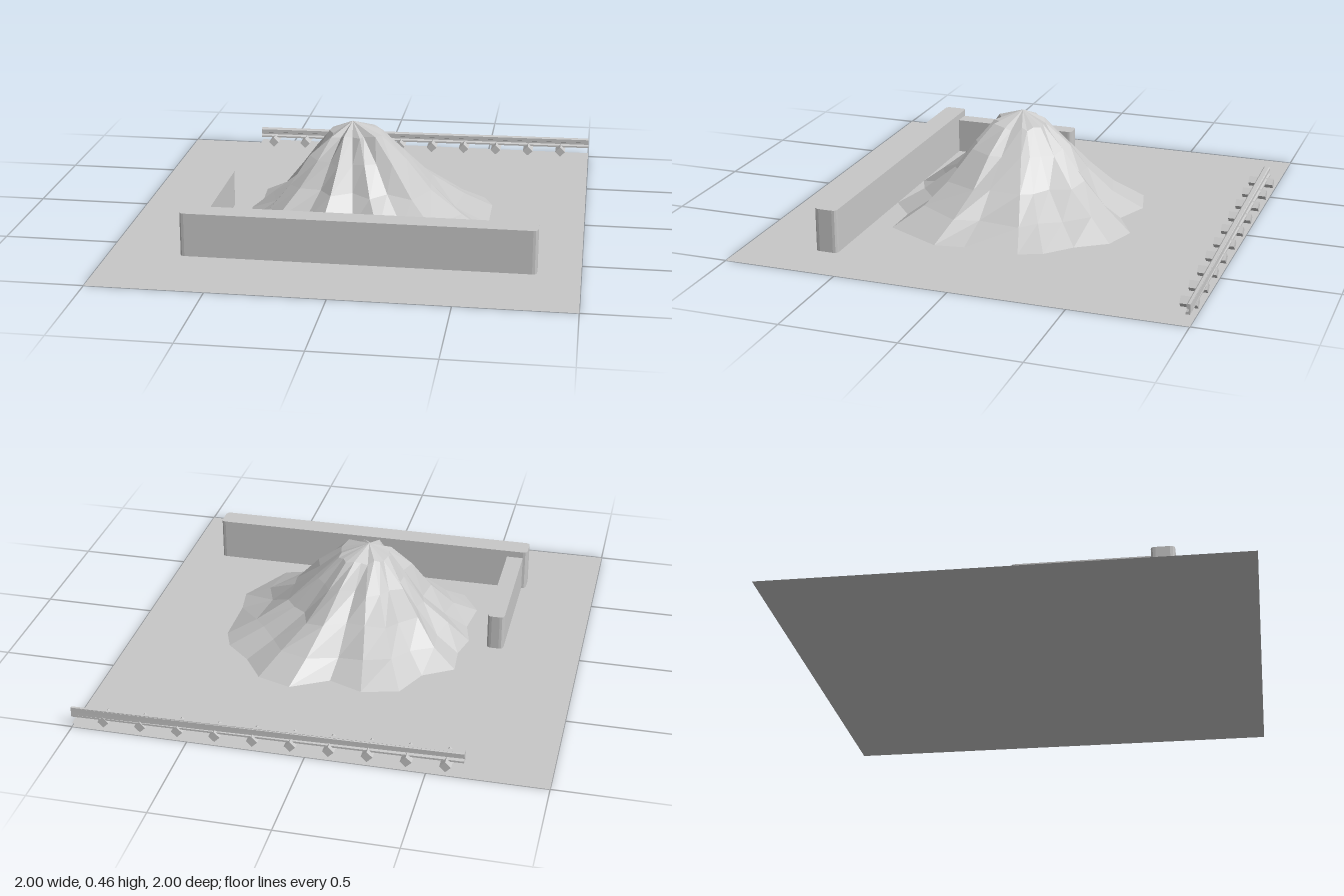
import * as THREE from 'three';

const BASE = 0.02;
const EDGE = -1; // back limit of the site
const SLOPE = -0.028; // the track runs slightly askew

// Outline of the heap foot as x, z pairs, clockwise from above
const FOOT = [
  [-0.28, -0.46], [-0.12, -0.5], [0.03, -0.44], [0.19, -0.53], [0.34, -0.48], [0.43, -0.35],
  [0.54, -0.25], [0.58, -0.15], [0.58, 0.09], [0.6, 0.22], [0.47, 0.47], [0.3, 0.47],
  [0.18, 0.57], [0.03, 0.5], [-0.13, 0.57], [-0.24, 0.46], [-0.41, 0.44], [-0.49, 0.31],
  [-0.47, 0.15], [-0.5, 0.03], [-0.47, -0.09], [-0.48, -0.23], [-0.35, -0.31],
];
// Slope of the heap: distance from peak to foot (0..1) and height
const RINGS = [[0.2, 0.405], [0.37, 0.31], [0.56, 0.19], [0.77, 0.09], [1, BASE]];
const PEAK = [-0.035, 0.455, 0.042];

function seeded(seed) {
  return () => {
    seed = (seed * 16807) % 2147483647;
    return seed / 2147483647;
  };
}

// Faceted heap, made of rings running from the peak to the foot
function heapGeometry() {
  const rand = seeded(7);
  const n = FOOT.length;
  const positions = [...PEAK];
  const index = [];
  RINGS.forEach(([t, y], r) => {
    FOOT.forEach(([x, z]) => {
      const inner = t < 1 ? 1 : 0;
      const s = t + inner * (rand() - 0.5) * 0.06;
      const h = y + inner * (rand() - 0.5) * 0.025;
      positions.push(PEAK[0] + (x - PEAK[0]) * s, h, PEAK[2] + (z - PEAK[2]) * s);
    });
    for (let i = 0; i < n; i++) {
      const j = (i + 1) % n;
      const c = 1 + r * n + i, d = 1 + r * n + j;
      if (r === 0) index.push(0, d, c);
      else index.push(c - n, d - n, d, c - n, d, c);
    }
  });
  const g = new THREE.BufferGeometry();
  g.setAttribute('position', new THREE.Float32BufferAttribute(positions, 3));
  g.setIndex(index);
  const flat = g.toNonIndexed();
  flat.computeVertexNormals();
  return flat;
}

// Upright wall with rounded vertical corners
function wallGeometry(x0, x1, z0, z1, top) {
  const r = 0.02;
  const s = new THREE.Shape();
  s.moveTo(x0 + r, -z1);
  s.lineTo(x1 - r, -z1);
  s.quadraticCurveTo(x1, -z1, x1, -z1 + r);
  s.lineTo(x1, -z0 - r);
  s.quadraticCurveTo(x1, -z0, x1 - r, -z0);
  s.lineTo(x0 + r, -z0);
  s.quadraticCurveTo(x0, -z0, x0, -z0 - r);
  s.lineTo(x0, -z1 + r);
  s.quadraticCurveTo(x0, -z1, x0 + r, -z1);
  const g = new THREE.ExtrudeGeometry(s, { depth: top - BASE, bevelEnabled: false, curveSegments: 3 });
  return g.rotateX(-Math.PI / 2).translate(0, BASE, 0);
}

// Skew a track part along x and cut it off at the back edge
function alignTrack(g) {
  const p = g.attributes.position;
  for (let i = 0; i < p.count; i++) {
    p.setZ(i, Math.max(EDGE, p.getZ(i) + SLOPE * (p.getX(i) + 0.65)));
  }
  g.computeVertexNormals();
  return g;
}

function railGeometry() {
  const half = [[0.018, 0.05], [0.018, 0.058], [0.005, 0.063], [0.005, 0.072], [0.015, 0.076], [0.015, 0.09], [0.01, 0.094]];
  const mirrored = half.map(([u, v]) => [-u, v]).reverse();
  const s = new THREE.Shape([...half, ...mirrored].map(([u, v]) => new THREE.Vector2(u, v)));
  const g = new THREE.ExtrudeGeometry(s, { depth: 1.65, bevelEnabled: false });
  return alignTrack(g.rotateY(Math.PI / 2).translate(-0.65, 0, -0.953));
}

export function createModel() {
  const model = new THREE.Group();
  const grey = new THREE.MeshStandardMaterial({ color: 0xc8c8c8 });
  grey.name = 'plain grey';
  const sheetGrey = grey; // one colour everywhere
  sheetGrey.side = THREE.DoubleSide;

  const add = (name, geometry, parent = model) => {
    const mesh = new THREE.Mesh(geometry, grey);
    mesh.name = name;
    parent.add(mesh);
    return mesh;
  };

  add('ground', new THREE.PlaneGeometry(2, 2).rotateX(-Math.PI / 2));
  add('heap', heapGeometry());
  add('frontWall', wallGeometry(-0.68, 0.82, 0.57, 0.67, 0.21));
  add('sideWall', wallGeometry(-0.66, -0.585, -0.01, 0.59, 0.18));

  // Track: bed, sleepers and the rail
  const track = new THREE.Group();
  track.name = 'track';
  model.add(track);
  const bed = new THREE.Shape([[-0.655, 0.832], [1, 0.879], [1, 1], [-0.655, 1]].map(([x, y]) => new THREE.Vector2(x, y)));
  add('trackBed', new THREE.ShapeGeometry(bed).rotateX(-Math.PI / 2).translate(0, 0.018, 0), track);
  for (let i = 0; i < 10; i++) {
    // Square beams turned on edge
    const g = new THREE.BoxGeometry(0.034, 0.034, 0.2).rotateZ(Math.PI / 4);
    g.translate(-0.578 + i * 0.16, 0.04, -0.985);
    add('sleeper', alignTrack(g), track);
  }
  add('rail', railGeometry(), track);
  return model;
}
